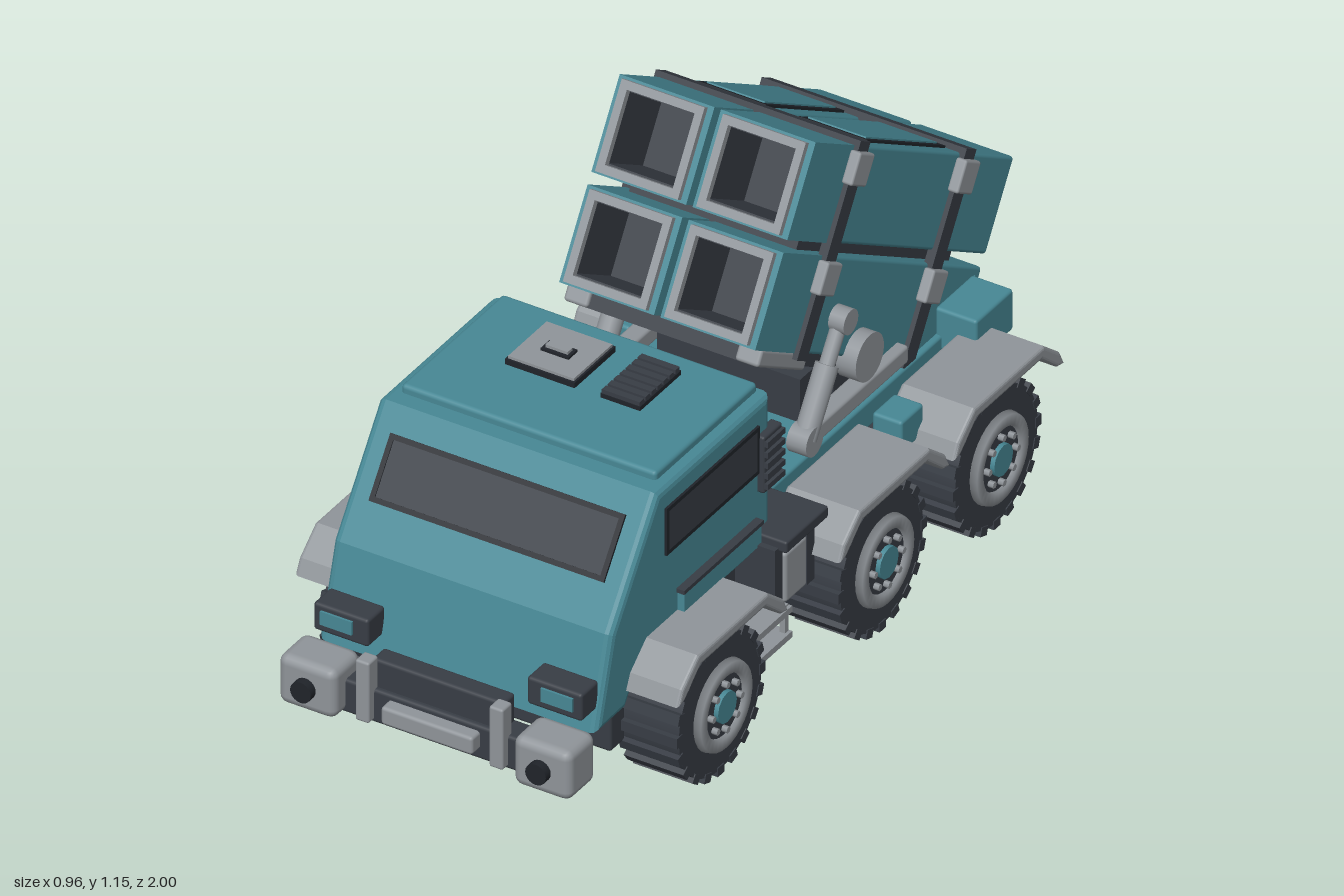
import * as THREE from 'three';
import { RoundedBoxGeometry } from 'three/addons/geometries/RoundedBoxGeometry.js';

const material = (name, color) => {
  const m = new THREE.MeshStandardMaterial({ color });
  m.name = name;
  return m;
};

export function createModel() {
  const teal = material('teal paint', 0x478895);
  const grey = material('grey metal', 0x90959a);
  const dark = material('dark rubber', 0x383d45);
  const black = material('black trim', 0x20242a);
  const model = new THREE.Group();
  model.name = 'launcherTruck';

  const add = (parent, name, geo, mat, x = 0, y = 0, z = 0) => {
    const m = new THREE.Mesh(geo, mat);
    m.name = name;
    m.position.set(x, y, z);
    parent.add(m);
    return m;
  };
  const box = (parent, name, mat, w, h, d, x, y, z, r = 0) =>
    add(parent, name, r ? new RoundedBoxGeometry(w, h, d, 2, r) : new THREE.BoxGeometry(w, h, d), mat, x, y, z);
  // Cylinder lying along x
  const disc = (parent, name, mat, r, w, x, y, z, sides = 24) =>
    add(parent, name, new THREE.CylinderGeometry(r, r, w, sides).rotateZ(Math.PI / 2), mat, x, y, z);
  // Round bar between two [x, y, z] points
  const rod = (parent, name, mat, a, b, r) => {
    const p = new THREE.Vector3(...a), q = new THREE.Vector3(...b);
    const m = add(parent, name, new THREE.CylinderGeometry(r, r, p.distanceTo(q), 14), mat);
    m.position.copy(p).lerp(q, 0.5);
    m.quaternion.setFromUnitVectors(new THREE.Vector3(0, 1, 0), q.sub(p).normalize());
  };
  // Side profile of [z, y] points, extruded across x
  const slab = (points, width, bevel) => {
    const shape = new THREE.Shape(points.map(p => new THREE.Vector2(...p)));
    return new THREE.ExtrudeGeometry(shape, {
      depth: width - 2 * bevel, bevelEnabled: true, bevelSize: bevel,
      bevelThickness: bevel, bevelOffset: -bevel, bevelSegments: 3,
    }).rotateY(-Math.PI / 2).translate(width / 2 - bevel, 0, 0);
  };
  // Rectangular frame with a hole, extruded along z
  const frame = (w, h, t, depth) => {
    const rect = (S, a, b) => new S([[-a, -b], [a, -b], [a, b], [-a, b]].map(p => new THREE.Vector2(...p)));
    const s = rect(THREE.Shape, w / 2, h / 2);
    s.holes.push(rect(THREE.Path, w / 2 - t, h / 2 - t));
    return new THREE.ExtrudeGeometry(s, { depth, bevelEnabled: false });
  };
  const sides = [1, -1];
  const axles = [0.5, -0.15, -0.61];

  // Cab shell and roof
  add(model, 'cab', slab([[0.84, 0.26], [0.78, 0.48], [0.595, 0.74], [0.14, 0.74], [0.14, 0.36],
    [0.33, 0.36], [0.65, 0.36], [0.72, 0.26]], 0.7, 0.018), teal);
  box(model, 'roof', teal, 0.64, 0.035, 0.41, 0, 0.743, 0.35, 0.01);

  // Windscreen on the sloping front
  const screen = new THREE.Group();
  screen.name = 'windscreen';
  screen.position.set(0, 0.626, 0.676);
  screen.rotation.x = -0.618;
  model.add(screen);
  box(screen, 'glass', dark, 0.57, 0.13, 0.009, 0, 0, -0.001);
  add(screen, 'windscreenFrame', frame(0.59, 0.152, 0.012, 0.01), black, 0, 0, -0.004);

  // Roof hatch and vent
  box(model, 'hatchBase', black, 0.175, 0.016, 0.165, -0.085, 0.766, 0.29);
  box(model, 'hatch', grey, 0.165, 0.009, 0.155, -0.085, 0.776, 0.29);
  box(model, 'hatchPanel', black, 0.07, 0.009, 0.036, -0.085, 0.782, 0.295);
  box(model, 'hatchGrip', grey, 0.056, 0.009, 0.02, -0.085, 0.789, 0.295);
  box(model, 'ventBase', black, 0.1, 0.012, 0.165, 0.117, 0.765, 0.29);
  for (let i = 0; i < 7; i++) box(model, 'ventSlat', dark, 0.095, 0.014, 0.017, 0.117, 0.774, 0.218 + i * 0.024);

  for (const s of sides) {
    // Cab sides
    box(model, 'sideWindow', dark, 0.009, 0.105, 0.36, s * 0.351, 0.627, 0.38);
    const edge = add(model, 'sideWindowFrame', frame(0.375, 0.12, 0.01, 0.01), black, s * 0.351 - 0.005, 0.627, 0.38);
    edge.rotation.y = Math.PI / 2;
    box(model, 'sideIntake', dark, 0.03, 0.145, 0.075, s * 0.352, 0.588, 0.157, 0.006);
    for (let i = 0; i < 5; i++) box(model, 'intakeFin', dark, 0.016, 0.014, 0.07, s * 0.367, 0.535 + i * 0.027, 0.157);
    box(model, 'doorSill', teal, 0.03, 0.05, 0.31, s * 0.352, 0.42, 0.36);
    box(model, 'doorTrim', dark, 0.034, 0.01, 0.32, s * 0.353, 0.45, 0.36);

    // Headlights
    box(model, 'headlightHousing', dark, 0.138, 0.07, 0.07, s * 0.268, 0.346, 0.845, 0.008);
    box(model, 'headlight', teal, 0.08, 0.034, 0.009, s * 0.277, 0.35, 0.881);

    // Front bumper corners
    box(model, 'bumperCorner', grey, 0.145, 0.125, 0.112, s * 0.295, 0.23, 0.922, 0.022);
    add(model, 'fogLamp', new THREE.CylinderGeometry(0.026, 0.026, 0.024, 20).rotateX(Math.PI / 2), black, s * 0.295, 0.23, 0.986);
    box(model, 'bumperUpright', grey, 0.035, 0.155, 0.04, s * 0.168, 0.253, 0.935, 0.006);

    // Chassis rail, fuel box and steps
    box(model, 'chassisRail', dark, 0.07, 0.085, 1.44, s * 0.2, 0.185, -0.03);
    box(model, 'fuelBoxLid', dark, 0.11, 0.03, 0.17, s * 0.375, 0.405, 0.12, 0.006);
    box(model, 'fuelBoxArm', dark, 0.18, 0.03, 0.09, s * 0.27, 0.405, 0.085, 0.006);
    box(model, 'fuelTank', grey, 0.09, 0.13, 0.09, s * 0.37, 0.31, 0.14, 0.01);
    box(model, 'fuelBracket', dark, 0.1, 0.16, 0.03, s * 0.36, 0.32, 0.205);
    box(model, 'fuelBracket', dark, 0.1, 0.16, 0.03, s * 0.36, 0.32, 0.075);
    for (const y of [0.18, 0.245]) box(model, 'step', grey, 0.1, 0.016, 0.15, s * 0.385, y, 0.265);
    for (const z of [0.2, 0.33]) box(model, 'stepPost', grey, 0.014, 0.09, 0.014, s * 0.42, 0.212, z);
    box(model, 'stepBracket', dark, 0.13, 0.025, 0.14, s * 0.29, 0.225, 0.265);

    // Stowage boxes
    box(model, 'rearBox', teal, 0.105, 0.105, 0.15, s * 0.295, 0.395, -0.765, 0.008);
    box(model, 'middleBox', teal, 0.075, 0.08, 0.09, s * 0.342, 0.36, -0.383, 0.008);
    box(model, 'tailLamp', dark, 0.05, 0.025, 0.009, s * 0.29, 0.39, -0.842);

    // Lifting gear beside the pod
    box(model, 'liftBase', grey, 0.045, 0.045, 0.4, s * 0.25, 0.425, -0.34, 0.008);
    disc(model, 'pivot', grey, 0.057, 0.05, s * 0.255, 0.515, -0.37);
    rod(model, 'liftCylinder', grey, [s * 0.26, 0.43, -0.14], [s * 0.26, 0.57, -0.23], 0.027);
    rod(model, 'liftPiston', grey, [s * 0.26, 0.55, -0.217], [s * 0.26, 0.655, -0.286], 0.018);
    disc(model, 'liftJoint', grey, 0.03, 0.05, s * 0.26, 0.655, -0.286, 16);
    disc(model, 'liftJoint', grey, 0.035, 0.05, s * 0.26, 0.43, -0.14, 16);
    box(model, 'podSupport', dark, 0.04, 0.18, 0.14, s * 0.2, 0.45, -0.39);

    // Wheels and mudguards
    for (const z of axles) {
      const wheel = new THREE.Group();
      wheel.name = 'wheel';
      wheel.position.set(s * 0.375, 0.18, z);
      model.add(wheel);
      disc(wheel, 'tyre', dark, 0.166, 0.145, 0, 0, 0, 36);
      for (let i = 0; i < 20; i++) {
        const a = i / 20 * Math.PI * 2;
        const lug = box(wheel, 'treadLug', dark, 0.15, 0.022, 0.026, 0, Math.cos(a) * 0.167, Math.sin(a) * 0.167);
        lug.rotation.x = a;
      }
      const rim = add(wheel, 'rim', new THREE.LatheGeometry([[0.072, 0], [0.108, 0], [0.104, 0.018], [0.078, 0.018], [0.072, 0]]
        .map(p => new THREE.Vector2(...p)), 32), grey, s * 0.071);
      rim.rotation.z = -s * Math.PI / 2;
      disc(wheel, 'wheelDisc', dark, 0.076, 0.012, s * 0.074, 0, 0);
      disc(wheel, 'hub', teal, 0.038, 0.022, s * 0.08, 0, 0, 12);
      for (let i = 0; i < 8; i++) {
        const a = i / 8 * Math.PI * 2;
        disc(wheel, 'wheelBolt', grey, 0.008, 0.026, s * 0.081, Math.cos(a) * 0.057, Math.sin(a) * 0.057, 6);
      }
      add(model, 'mudguard', slab([[-0.222, 0.308], [-0.205, 0.345], [-0.14, 0.398], [0.14, 0.398], [0.205, 0.345], [0.222, 0.308],
        [0.195, 0.312], [0.13, 0.368], [-0.13, 0.368], [-0.195, 0.312]], 0.185, 0.008), grey, s * 0.389, 0, z);
    }
  }

  // Front bumper centre
  box(model, 'bumperBeam', dark, 0.5, 0.085, 0.065, 0, 0.21, 0.9, 0.008);
  box(model, 'bumperGuard', dark, 0.33, 0.09, 0.05, 0, 0.277, 0.895, 0.008);
  box(model, 'bumperPlate', grey, 0.23, 0.045, 0.05, 0, 0.217, 0.94, 0.008);

  // Deck, axles and cross members
  box(model, 'deck', teal, 0.52, 0.07, 0.945, 0, 0.345, -0.372, 0.008);
  box(model, 'tailPanel', teal, 0.5, 0.09, 0.05, 0, 0.4, -0.825, 0.008);
  box(model, 'frontBar', dark, 0.62, 0.105, 0.06, 0, 0.185, 0.69, 0.008);
  box(model, 'rearBar', dark, 0.56, 0.08, 0.05, 0, 0.2, -0.755, 0.008);
  for (const z of axles) disc(model, 'axle', dark, 0.04, 0.66, 0, 0.18, z, 14);
  for (const z of [0.25, 0.08, -0.38]) box(model, 'crossMember', dark, 0.46, 0.06, 0.06, 0, 0.18, z);
  for (const z of [0.45, 0.2, -0.05, -0.38, -0.7]) box(model, 'bodyMount', dark, 0.46, 0.16, 0.05, 0, 0.29, z);
  box(model, 'pedestal', dark, 0.36, 0.14, 0.34, 0, 0.42, -0.42);

  // Tilted launcher pod, its own z along the tubes
  const pod = new THREE.Group();
  pod.name = 'launcherPod';
  pod.position.set(0, 0.71, -0.474);
  pod.rotation.x = -0.553;
  model.add(pod);
  for (const x of [-0.127, 0.127]) {
    for (const y of [-0.123, 0.123]) {
      box(pod, 'tubeBody', teal, 0.238, 0.218, 0.76, x, y, -0.102, 0.008);
      add(pod, 'tubeSleeve', frame(0.238, 0.218, 0.018, 0.195), teal, x, y, 0.262);
      add(pod, 'tubeLining', frame(0.204, 0.184, 0.012, 0.18), dark, x, y, 0.275);
      add(pod, 'tubeRim', frame(0.208, 0.206, 0.019, 0.017), grey, x, y, 0.455);
      box(pod, 'tubeEnd', dark, 0.2, 0.18, 0.009, x, y, 0.281);
    }
    // Top access panel
    box(pod, 'panelEdge', black, 0.172, 0.009, 0.37, x, 0.233, -0.03);
    box(pod, 'panel', teal, 0.145, 0.014, 0.335, x, 0.234, -0.03);
  }
  box(pod, 'podCore', dark, 0.42, 0.06, 0.72, 0, 0, -0.03);

  // Clamp bands and their buckles
  for (const z of [-0.25, 0.25]) {
    add(pod, 'clampBand', frame(0.515, 0.49, 0.022, 0.046), dark, 0, 0, z - 0.023);
    box(pod, 'bandDivider', dark, 0.016, 0.47, 0.046, 0, 0, z);
    for (const s of sides) for (const y of [0.185, -0.06])
      box(pod, 'buckle', grey, 0.028, 0.075, 0.07, s * 0.258, y, z, 0.006);
  }

  // Cradle under the pod
  box(pod, 'cradle', dark, 0.4, 0.04, 0.62, 0, -0.25, 0.1);
  for (const s of sides) box(pod, 'cradleRail', grey, 0.06, 0.04, 0.22, s * 0.215, -0.25, 0.31, 0.008);
  return model;
}
